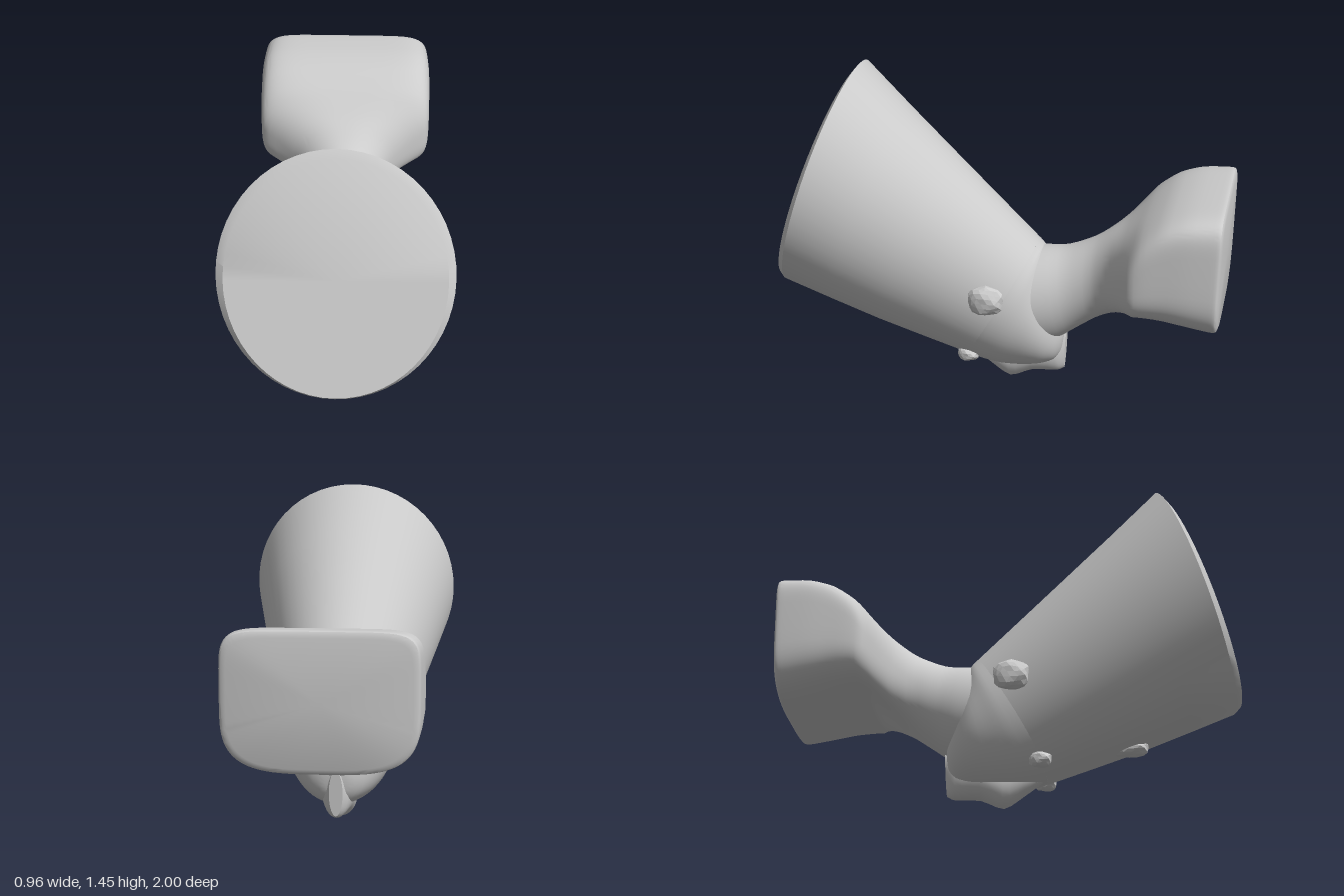
import * as THREE from 'three';
import { toCreasedNormals } from 'three/addons/utils/BufferGeometryUtils.js';

const material = new THREE.MeshStandardMaterial({ color: 0xcccccc });

// Superellipse coordinate: n = 2 is round, larger is boxier
const boxy = (v, n) => Math.sign(v) * Math.pow(Math.abs(v), 2 / n);

// Skin over sections [topZ, topY, bottomZ, bottomY, halfWidth, exponent],
// listed from front to back; both ends are capped. Undersides stay bowed.
function loft(name, sections, { steps = 1, sides = 56, crease = 0.6 } = {}) {
  const tops = new THREE.CatmullRomCurve3(sections.map(s => new THREE.Vector3(s[0], s[1], s[4])), false, 'catmullrom', 0.4);
  const bottoms = new THREE.CatmullRomCurve3(sections.map(s => new THREE.Vector3(s[2], s[3], s[5] ?? 2)), false, 'catmullrom', 0.4);
  const rows = (sections.length - 1) * steps;
  const pos = [], idx = [];
  for (let j = 0; j <= rows; j++) {
    const t = tops.getPoint(j / rows), b = bottoms.getPoint(j / rows);
    for (let i = 0; i < sides; i++) {
      const a = (i / sides) * Math.PI * 2;
      const n = i > sides / 2 ? Math.min(b.z, 3.5) : b.z;
      const v = boxy(Math.sin(a), n) / 2;
      pos.push(t.z * boxy(Math.cos(a), n), (t.y + b.y) / 2 + (t.y - b.y) * v, (t.x + b.x) / 2 + (t.x - b.x) * v);
      if (j < rows) {
        const p = j * sides + i, q = j * sides + (i + 1) % sides;
        idx.push(p, p + sides, q, q, p + sides, q + sides);
      }
    }
  }
  const first = sections[0], last = sections.at(-1), c = pos.length / 3;
  for (const s of [first, last]) pos.push(0, (s[1] + s[3]) / 2, (s[0] + s[2]) / 2);
  for (let i = 0; i < sides; i++) {
    const n = (i + 1) % sides, e = rows * sides;
    idx.push(c, i, n, c + 1, e + n, e + i);
  }
  const geo = new THREE.BufferGeometry();
  geo.setAttribute('position', new THREE.Float32BufferAttribute(pos, 3));
  geo.setIndex(idx);
  const mesh = new THREE.Mesh(toCreasedNormals(geo, crease), material);
  mesh.name = name;
  return mesh;
}

// Rough little lump, its vertices pushed in and out by a wave rule
function lump(name, [x, y, z], [sx, sy, sz]) {
  const geo = new THREE.IcosahedronGeometry(1, 2);
  const p = geo.attributes.position, v = new THREE.Vector3();
  for (let i = 0; i < p.count; i++) {
    v.fromBufferAttribute(p, i);
    v.multiplyScalar(1 + 0.1 * Math.sin(5 * v.y + 2) * Math.cos(4 * v.z + 3 * v.x));
    p.setXYZ(i, v.x * sx, v.y * sy, v.z * sz);
  }
  geo.computeVertexNormals();
  const mesh = new THREE.Mesh(geo, material);
  mesh.name = name;
  mesh.position.set(x, y, z);
  return mesh;
}

export function createModel() {
  const group = new THREE.Group();
  group.name = 'tiltedConeOnStand';

  // Wide slanted cone with a flat closed mouth and a bevelled rim
  group.add(loft('cone', [
    [0.67, 1.42, 0.998, 0.46, 0.45],
    [0.645, 1.45, 0.975, 0.435, 0.48],
    [0.44, 1.25, 0.77, 0.35, 0.425],
    [0.23, 1.05, 0.56, 0.265, 0.368],
    [0.02, 0.85, 0.35, 0.19, 0.312],
    [-0.18, 0.66, 0.15, 0.12, 0.258]
  ]));

  // Full, rounded rear bulb closing the narrow end
  group.add(loft('bulb', [
    [-0.16, 0.68, 0.17, 0.127, 0.263],
    [-0.185, 0.65, 0.08, 0.1, 0.255],
    [-0.2, 0.61, 0.0, 0.085, 0.24],
    [-0.22, 0.54, -0.1, 0.085, 0.217],
    [-0.245, 0.44, -0.18, 0.095, 0.178],
    [-0.27, 0.34, -0.24, 0.115, 0.12],
    [-0.285, 0.28, -0.27, 0.15, 0.065],
    [-0.287, 0.23, -0.282, 0.19, 0.01]
  ], { steps: 3, crease: 0.9 }));

  // Narrow ridge under the bulb
  group.add(loft('heel', [
    [0.14, 0.2, 0.13, 0.115, 0.03],
    [0.06, 0.2, 0.05, 0.06, 0.06],
    [-0.03, 0.2, -0.04, 0.005, 0.075],
    [-0.14, 0.22, -0.14, 0.045, 0.075],
    [-0.24, 0.26, -0.25, 0.05, 0.06],
    [-0.295, 0.27, -0.285, 0.065, 0.03]
  ], { steps: 3, sides: 32 }));

  // Neck flaring into the block-shaped foot
  group.add(loft('neckAndFoot', [
    [-0.03, 0.64, -0.1, 0.17, 0.22],
    [-0.18, 0.655, -0.25, 0.225, 0.195],
    [-0.29, 0.667, -0.34, 0.285, 0.172],
    [-0.41, 0.715, -0.43, 0.35, 0.175, 2.1],
    [-0.49, 0.765, -0.5, 0.395, 0.22, 2.3],
    [-0.55, 0.805, -0.56, 0.435, 0.3, 2.6],
    [-0.605, 0.85, -0.61, 0.465, 0.385, 3],
    [-0.66, 0.895, -0.66, 0.47, 0.4, 4.5],
    [-0.75, 0.95, -0.75, 0.46, 0.402, 6],
    [-0.85, 0.978, -0.85, 0.44, 0.402, 7],
    [-0.96, 0.988, -0.95, 0.42, 0.396, 7],
    [-0.992, 0.985, -0.98, 0.42, 0.39, 7],
    [-1.0, 0.96, -0.99, 0.44, 0.365, 7]
  ], { steps: 3, sides: 96 }));

  // Rough knobs on both flanks, and small scars low on the cone
  for (const [side, name] of [[1, 'leftKnob'], [-1, 'rightKnob']]) {
    group.add(lump(name, [side * 0.285, 0.5, 0.02], [0.042, 0.068, 0.08]));
    group.add(lump(name + 'Scar', [side * 0.145, 0.165, 0.13], [0.04, 0.035, 0.05]));
  }
  group.add(lump('undersideScar', [0, 0.255, 0.5], [0.045, 0.035, 0.09]));
  return group;
}
